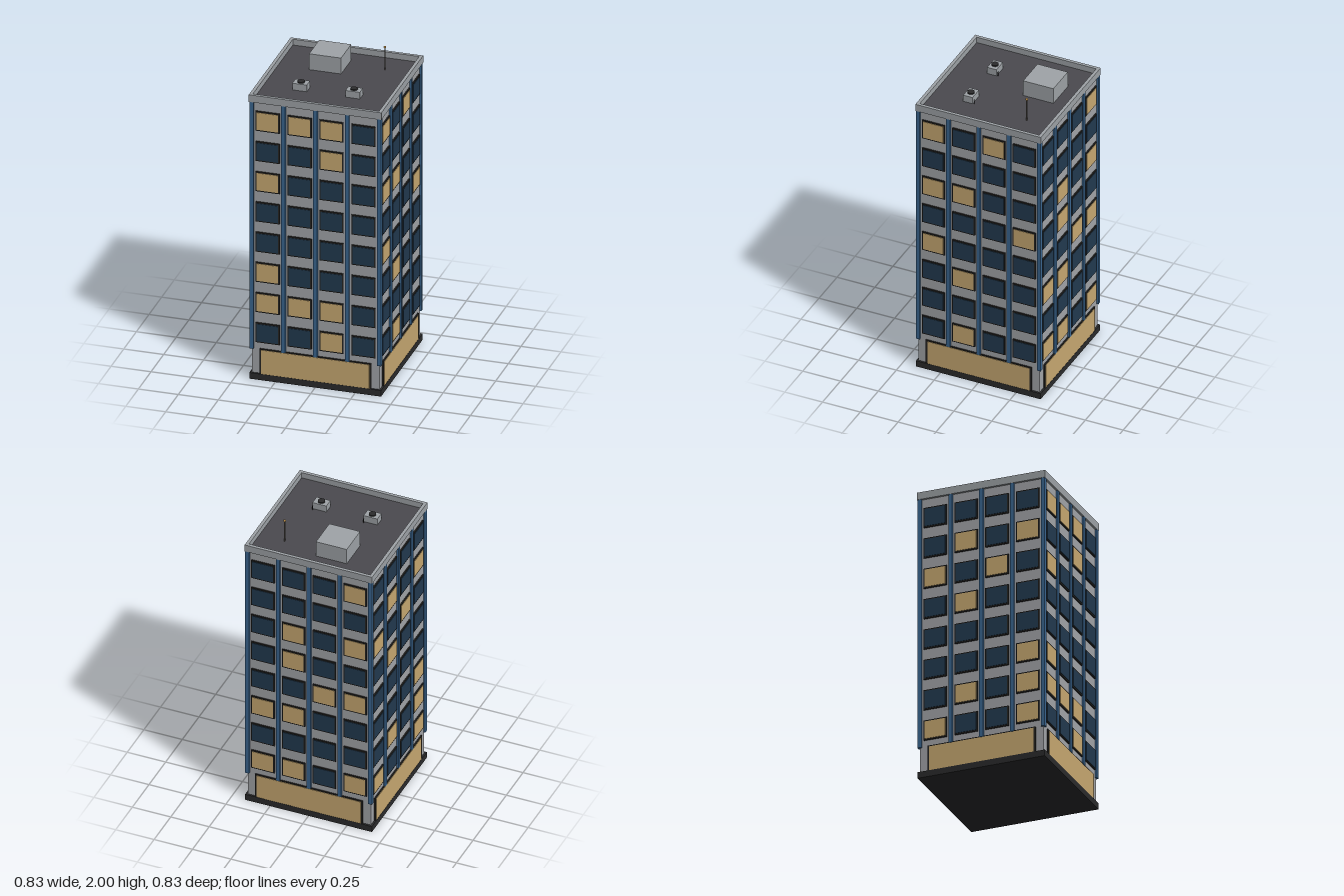
import * as THREE from 'three';

const mat = (name, color) => Object.assign(new THREE.MeshStandardMaterial({ color }), { name });

export function createModel() {
  const M = {
    wall: mat('wall grey', 0xa4a6aa),
    parapet: mat('parapet grey', 0x9fa4a8),
    fin: mat('fin blue', 0x3b6792),
    glass: mat('dark glass', 0x223a50),
    lit: mat('lit glass', 0xc9aa72),
    frame: mat('frame black', 0x252422),
    plinth: mat('plinth black', 0x2b2b2c),
    roof: mat('roof dark grey', 0x4b4a4f),
    metal: mat('mast metal', 0x66605a),
    gold: mat('beacon gold', 0xb58a45),
  };
  const model = new THREE.Group();
  model.name = 'officeTower';

  const add = (parent, name, geometry, material, x, y, z) => {
    const mesh = new THREE.Mesh(geometry, material);
    mesh.name = name;
    mesh.position.set(x, y, z);
    parent.add(mesh);
    return mesh;
  };
  // Box given by its bottom height
  const box = (parent, name, material, w, h, d, x, y, z) =>
    add(parent, name, new THREE.BoxGeometry(w, h, d), material, x, y + h / 2, z);

  // Main masses
  box(model, 'plinth', M.plinth, 0.825, 0.04, 0.825, 0, 0, 0);
  box(model, 'towerBody', M.wall, 0.8, 1.795, 0.8, 0, 0.04, 0);
  box(model, 'roofDeck', M.roof, 0.8, 0.01, 0.8, 0, 1.832, 0);

  // Parapet ring
  const ring = new THREE.Shape();
  const square = (path, r) => path.moveTo(-r, -r).lineTo(r, -r).lineTo(r, r).lineTo(-r, r).closePath();
  square(ring, 0.415);
  const hole = new THREE.Path();
  square(hole, 0.395);
  ring.holes.push(hole);
  const parapetGeo = new THREE.ExtrudeGeometry(ring, { depth: 0.047, bevelEnabled: false });
  parapetGeo.rotateX(-Math.PI / 2);
  add(model, 'parapet', parapetGeo, M.parapet, 0, 1.833, 0);

  // Window lighting per facade, top row first, L = lit
  const facades = [
    ['front', 'LLLD DDLD LDDD DDDD DDDD LDDD LLLD DDLD'],
    ['right', 'LDLD DDDD LLDD DDDL LDDD DLDD DDDD DLDD'],
    ['back', 'DDDL DDDD DLDL DLDD DDLL LLDD DDDD LLDL'],
    ['left', 'DDDD DLDL LDLD DLDD DDDD DDDL DLDL LDDL'],
  ];
  const frameGeo = new THREE.BoxGeometry(0.15, 0.13, 0.016);
  const paneGeo = new THREE.BoxGeometry(0.134, 0.114, 0.004);

  facades.forEach(([side, rows], i) => {
    const facade = new THREE.Group();
    facade.name = side + 'Facade';
    facade.rotation.y = i * Math.PI / 2;
    model.add(facade);

    rows.split(' ').forEach((row, r) => {
      [...row].forEach((state, c) => {
        const x = -0.3 + c * 0.2, y = 1.71 - r * 0.2;
        add(facade, 'windowFrame', frameGeo, M.frame, x, y, 0.4);
        add(facade, 'windowPane', paneGeo, state === 'L' ? M.lit : M.glass, x, y, 0.409);
      });
    });

    // Vertical fins; each facade carries one corner
    for (let f = 0; f < 4; f++) {
      box(facade, 'verticalFin', M.fin, 0.025, 1.633, 0.025, -0.4 + f * 0.2, 0.2, 0.4);
    }

    // Lobby glazing
    box(facade, 'lobbyFrame', M.frame, 0.7, 0.165, 0.016, 0, 0.04, 0.4);
    box(facade, 'lobbyGlass', M.lit, 0.676, 0.158, 0.004, 0, 0.04, 0.409);
  });

  // Rooftop plant room
  box(model, 'plantRoom', M.parapet, 0.2, 0.107, 0.2, -0.1, 1.84, -0.2);

  // Air conditioners with fan discs and feed pipes
  for (const x of [-0.166, 0.166]) {
    const unit = new THREE.Group();
    unit.name = 'airConditioner';
    unit.position.set(x, 1.84, 0.165);
    model.add(unit);
    box(unit, 'unitCase', M.parapet, 0.09, 0.046, 0.062, 0, 0, 0);
    add(unit, 'fan', new THREE.CylinderGeometry(0.022, 0.022, 0.008, 20), M.plinth, 0, 0.05, 0);
    add(unit, 'feedPipe', new THREE.CylinderGeometry(0.003, 0.003, 0.03, 8), M.plinth, 0.04, 0.015, -0.04);
  }

  // Antenna with beacon
  add(model, 'antennaMast', new THREE.CylinderGeometry(0.004, 0.004, 0.15, 10), M.metal, 0.232, 1.915, -0.235);
  add(model, 'antennaBeacon', new THREE.SphereGeometry(0.008, 12, 8), M.gold, 0.232, 1.992, -0.235);

  return model;
}
